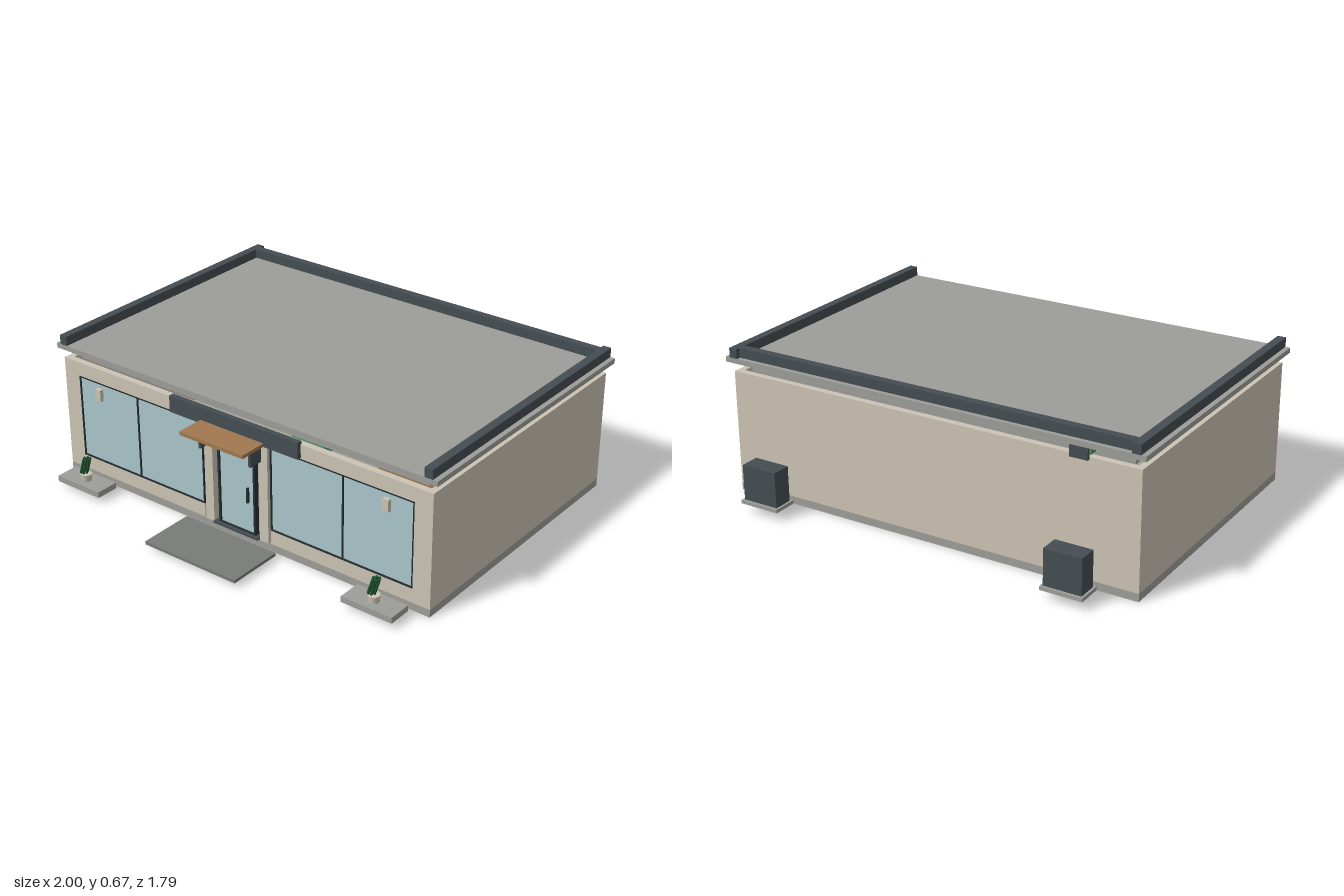
import * as THREE from 'three';

const mat = (name, color) => {
  const m = new THREE.MeshStandardMaterial({ color });
  m.name = name;
  return m;
};

export function createModel() {
  const wallMat = mat('beige render', 0xcbc3b4);
  const concrete = mat('concrete', 0x9c9d98);
  const paving = mat('dark paving', 0x787b78);
  const slate = mat('slate metal', 0x454d52);
  const glass = mat('pale glass', 0xa9c4cb);
  const wood = mat('wood', 0xa07850);
  const green = mat('sign green', 0x4f9468);
  const leafMat = mat('leaf green', 0x1f5233);
  const black = mat('black trim', 0x262d31);
  const white = mat('lamp white', 0xe6e7e2);

  const model = new THREE.Group();
  model.name = 'smallShop';

  // Box given by its limits on each axis
  const box = (name, m, [x0, x1], [y0, y1], [z0, z1], parent = model) => {
    const mesh = new THREE.Mesh(new THREE.BoxGeometry(x1 - x0, y1 - y0, z1 - z0), m);
    mesh.position.set((x0 + x1) / 2, (y0 + y1) / 2, (z0 + z1) / 2);
    mesh.name = name;
    parent.add(mesh);
    return mesh;
  };
  // Rectangular outline of thin bars
  const frame = (name, m, [x0, x1], [y0, y1], z, t) => {
    const g = new THREE.Group();
    g.name = name;
    for (const x of [x0, x1 - t]) box('frameUpright', m, [x, x + t], [y0, y1], z, g);
    for (const y of [y0, y1 - t]) box('frameRail', m, [x0 + t, x1 - t], [y, y + t], z, g);
    model.add(g);
  };
  const span = (side, a, b) => (side > 0 ? [a, b] : [-b, -a]);

  // Base and shell
  box('foundation', concrete, [-0.975, 0.975], [0, 0.035], [-0.72, 0.585]);
  box('backWall', wallMat, [-0.975, 0.975], [0.035, 0.555], [-0.72, -0.69]);
  box('frontHeader', wallMat, [-0.975, 0.975], [0.49, 0.555], [0.555, 0.585]);
  box('ceiling', concrete, [-0.92, 0.92], [0.545, 0.563], [-0.67, 0.53]);

  for (const s of [-1, 1]) {
    box('sideWall', wallMat, span(s, 0.945, 0.975), [0.035, 0.555], [-0.69, 0.555]);
    box('frontPier', wallMat, span(s, 0.89, 0.975), [0.035, 0.49], [0.555, 0.585]);
    box('windowSill', wallMat, span(s, 0.18, 0.89), [0.035, 0.1], [0.555, 0.585]);
    box('entranceColumn', wallMat, span(s, 0.125, 0.17), [0.035, 0.49], [0.555, 0.59]);

    // Shop windows
    box('windowGlass', glass, span(s, 0.182, 0.888), [0.102, 0.488], [0.57, 0.58]);
    frame('windowFrame', black, span(s, 0.18, 0.89), [0.1, 0.49], [0.565, 0.586], 0.006);
    box('windowMullion', black, span(s, 0.545, 0.551), [0.1, 0.49], [0.57, 0.586]);
    box('wallLamp', wallMat, span(s, 0.75, 0.78), [0.41, 0.465], [0.585, 0.603]);

    // Canopy brackets
    box('canopyBracket', slate, span(s, 0.128, 0.139), [0.412, 0.495], [0.59, 0.658]);
  }

  // Roof slab and parapets; the front edge stays open
  box('roofSlab', concrete, [-1, 1], [0.6, 0.623], [-0.742, 0.6]);
  for (const s of [-1, 1])
    box('sideParapet', slate, span(s, 0.94, 0.978), [0.623, 0.666], [-0.742, 0.6]);
  box('backParapet', slate, [-0.94, 0.94], [0.623, 0.666], [-0.722, -0.684]);

  // Linear lamps in the gap under the roof
  for (const z of [0.29, -0.07, -0.43])
    box('linearLamp', white, [-0.905, 0.905], [0.575, 0.588], [z - 0.006, z + 0.006]);
  box('rearSignBox', green, [-0.75, -0.67], [0.56, 0.6], [-0.71, -0.655]);
  box('rearSignPlate', slate, [-0.75, -0.67], [0.545, 0.6], [-0.735, -0.72]);

  // Entrance
  box('fascia', slate, [-0.34, 0.34], [0.495, 0.57], [0.58, 0.606]);
  box('canopy', wood, [-0.17, 0.165], [0.495, 0.511], [0.6, 0.735]);
  box('doorGlass', glass, [-0.095, 0.095], [0.045, 0.43], [0.572, 0.58]);
  frame('doorFrame', black, [-0.1, 0.1], [0.04, 0.437], [0.565, 0.588], 0.01);
  box('doorHandle', black, [0.062, 0.07], [0.195, 0.265], [0.588, 0.6]);
  box('threshold', slate, [-0.12, 0.12], [0.035, 0.045], [0.575, 0.602]);
  box('doorHead', wallMat, [-0.125, 0.125], [0.437, 0.452], [0.56, 0.58]);
  box('entrancePaving', paving, [-0.245, 0.24], [0.022, 0.036], [0.63, 0.89]);

  // Interior seen beside and above the door
  box('coolerFront', glass, [-0.6, 0.6], [0.1, 0.5], [-0.69, -0.68]);
  box('counter', wood, [0.3, 0.8], [0.035, 0.2], [-0.2, 0]);
  box('goodsShelf', green, [-0.3, -0.11], [0.035, 0.2], [-0.3, -0.15]);

  // Planters with leaning leaf blades
  const potGeo = new THREE.CylinderGeometry(0.027, 0.023, 0.032, 12);
  const bladeGeo = new THREE.CylinderGeometry(0.006, 0.006, 0.08, 6);
  for (const s of [-1, 1]) {
    box('planterPad', concrete, span(s, 0.66, 0.905), [0.027, 0.054], [0.632, 0.742]);
    const planter = new THREE.Group();
    planter.name = 'planter';
    planter.position.set(s * 0.782, 0.07, 0.69);
    const pot = new THREE.Mesh(potGeo, wallMat);
    pot.name = 'pot';
    planter.add(pot);
    for (let i = 0; i < 6; i++) {
      const a = (i * Math.PI) / 3;
      const blade = new THREE.Mesh(bladeGeo, leafMat);
      blade.name = 'leafBlade';
      blade.position.set(Math.cos(a) * 0.014, 0.056, Math.sin(a) * 0.014);
      blade.rotation.z = -0.3;
      planter.add(blade);
    }
    model.add(planter);
  }

  // Outdoor cooling units behind the back wall
  for (const s of [-1, 1]) {
    box('unitPad', concrete, span(s, 0.638, 0.828), [0.042, 0.058], [-0.9, -0.787]);
    box('coolingUnit', slate, span(s, 0.648, 0.818), [0.058, 0.218], [-0.888, -0.8]);
    const fan = new THREE.Mesh(new THREE.CylinderGeometry(0.045, 0.045, 0.01, 24), concrete);
    fan.name = 'fanDisc';
    fan.position.set(s * 0.735, 0.145, -0.797);
    model.add(fan);
  }
  return model;
}
